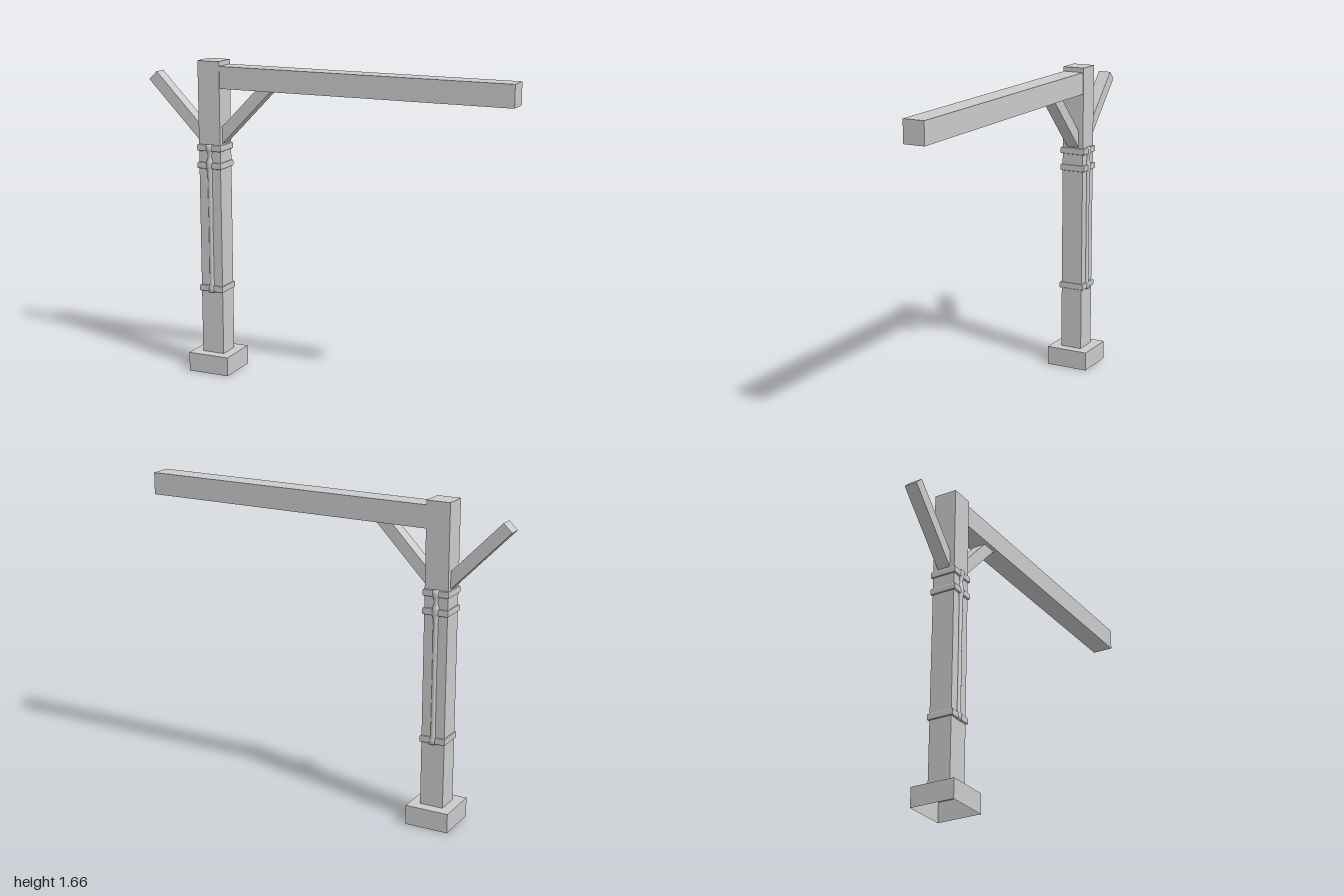
import * as THREE from 'three';

const POST_X = -0.633;

export function createModel() {
  const model = new THREE.Group();
  const grey = new THREE.MeshStandardMaterial({ color: 0xcccccc });
  const greyOpen = new THREE.MeshStandardMaterial({ color: 0xcccccc, side: THREE.DoubleSide });

  const add = (name, geometry, x, y, z, material = grey) => {
    const mesh = new THREE.Mesh(geometry, material);
    mesh.name = name;
    mesh.position.set(x, y, z);
    model.add(mesh);
    return mesh;
  };
  const box = (name, w, h, d, x, y, z) => add(name, new THREE.BoxGeometry(w, h, d), x, y, z);

  // Footing: a box shell that is open underneath (bottom face removed)
  const footing = new THREE.BoxGeometry(0.23, 0.102, 0.234);
  const index = Array.from(footing.index.array);
  index.splice(18, 6);
  footing.setIndex(index);
  footing.clearGroups();
  add('footing', footing, POST_X, 0.051, 0, greyOpen);

  // Upright post and long horizontal arm
  box('post', 0.124, 1.563, 0.12, POST_X, 0.8835, 0);
  box('arm', 1.6, 0.115, 0.112, 0.2, 1.583, 0);

  // Diagonal braces, mirrored about the post
  for (const side of [-1, 1]) {
    const inner = new THREE.Vector2(0.02, 1.238);
    const outer = new THREE.Vector2(0.344, 1.57);
    const length = inner.distanceTo(outer);
    const brace = box(side < 0 ? 'outerBrace' : 'armBrace', length, 0.062, 0.068,
      POST_X + side * (inner.x + outer.x) / 2, (inner.y + outer.y) / 2, 0);
    brace.rotation.z = side * Math.atan2(outer.y - inner.y, outer.x - inner.x);
  }

  // Straps around the post: square rings with a softly bulging edge
  const strapShape = (hw, hd) => new THREE.Shape([
    new THREE.Vector2(-hw, -hd), new THREE.Vector2(hw, -hd),
    new THREE.Vector2(hw, hd), new THREE.Vector2(-hw, hd),
  ]);
  for (const y of [0.457, 1.12, 1.213]) {
    const shape = strapShape(0.064, 0.066);
    shape.holes.push(strapShape(0.058, 0.056));
    const strap = new THREE.ExtrudeGeometry(shape, {
      depth: 0.022, bevelEnabled: true, bevelThickness: 0.006, bevelSize: 0.004, bevelSegments: 2,
    });
    strap.translate(0, 0, -0.011);
    strap.rotateX(Math.PI / 2);
    add('strap', strap, POST_X, y, 0);
  }

  // Slim rods held by the straps on the front and back faces
  const profile = [
    [0, 0.438], [0.02, 0.438], [0.019, 0.46], [0.013, 0.485], [0.012, 0.8], [0.014, 1.08],
    [0.018, 1.105], [0.02, 1.125], [0.017, 1.145], [0.009, 1.168], [0.016, 1.192],
    [0.02, 1.21], [0.019, 1.232], [0, 1.232],
  ].map(([r, y]) => new THREE.Vector2(r, y));
  for (const side of [1, -1]) {
    const rod = add(side > 0 ? 'frontRod' : 'backRod', new THREE.LatheGeometry(profile, 16),
      POST_X, 0, side * 0.059);
    rod.scale.z = 0.9;
  }

  return model;
}
